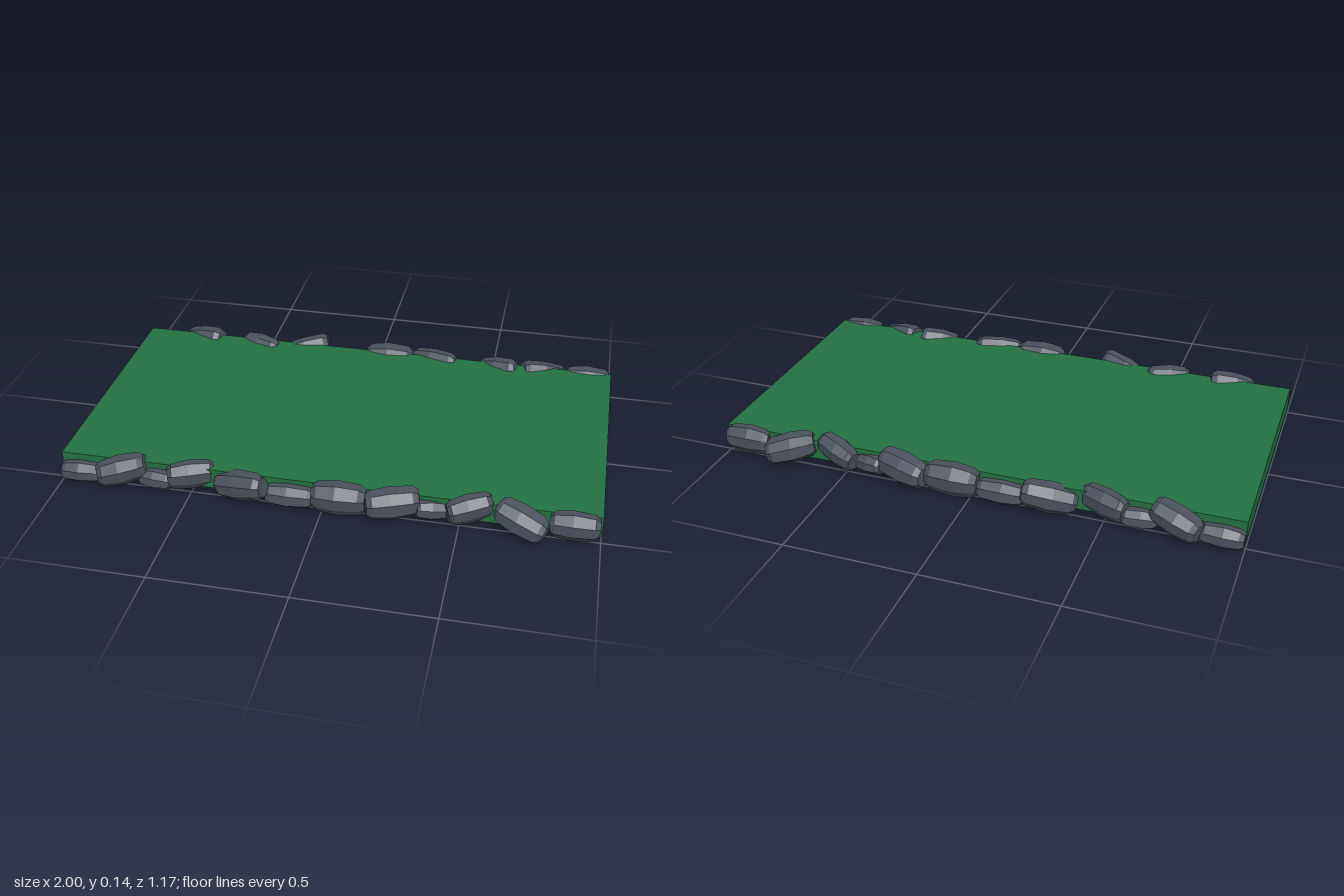
import * as THREE from 'three';

// Faceted stone of unit size lying along x: a seven-sided barrel with chamfered ends.
function stoneGeometry(seed, length, height, depth, mirror) {
  const profile = [[0, -0.5], [0.33, -0.5], [0.45, -0.4], [0.52, -0.04], [0.46, 0.39], [0.34, 0.5], [0, 0.5]]
    .map(([r, y]) => new THREE.Vector2(r, y));
  const geometry = new THREE.LatheGeometry(profile, 8, Math.PI / 8);
  geometry.rotateZ(-Math.PI / 2);
  const p = geometry.attributes.position;
  for (let i = 0; i < p.count; i++) {
    const x = p.getX(i), y = p.getY(i), z = p.getZ(i) * mirror;
    // Small uneven bulges that agree at the seam, and slightly skewed ends
    const k = 1.05 + 0.06 * Math.sin(y * 7 + z * 5 + seed * 2.3);
    p.setXYZ(i,
      (x + 0.05 * x * Math.sin(z * 4 + y * 3 + seed)) * length,
      y * k * height,
      z * k * depth * mirror);
  }
  return geometry;
}

export function createModel() {
  const model = new THREE.Group();
  const grass = new THREE.MeshStandardMaterial({ color: 0x237042 });
  grass.name = 'grass green';
  const stone = new THREE.MeshStandardMaterial({ color: 0x4a515c });
  stone.name = 'slate grey';
  stone.flatShading = true;

  // Flat grass slab
  const slab = new THREE.Mesh(new THREE.BoxGeometry(2, 0.08, 1), grass);
  slab.name = 'grassSlab';
  slab.position.y = 0.08;
  model.add(slab);

  // Edge stones: x, y, z, length, height, depth, turn about y, tilt about z
  const stones = [
    [-0.92, 0.053, 0.507, 0.15, 0.085, 0.09, 0.03, 0.02],
    [-0.76, 0.085, 0.515, 0.18, 0.1, 0.11, 0.3, 0.22],
    [-0.63, 0.06, 0.505, 0.13, 0.075, 0.08, -0.12, 0.0],
    [-0.5, 0.086, 0.49, 0.18, 0.105, 0.09, 0.36, 0.04],
    [-0.3, 0.08, 0.518, 0.2, 0.105, 0.1, -0.3, 0.24],
    [-0.12, 0.058, 0.507, 0.17, 0.093, 0.085, 0.0, 0.01],
    [0.065, 0.08, 0.515, 0.19, 0.118, 0.115, 0.0, 0.02],
    [0.26, 0.083, 0.515, 0.19, 0.115, 0.1, 0.28, 0.08],
    [0.4, 0.067, 0.497, 0.12, 0.075, 0.08, 0.3, -0.1],
    [0.535, 0.09, 0.495, 0.17, 0.098, 0.09, 0.34, 0.22],
    [0.72, 0.08, 0.515, 0.19, 0.105, 0.11, -0.34, -0.25],
    [0.905, 0.079, 0.507, 0.17, 0.108, 0.09, 0.0, 0.0],
  ];
  for (const side of [1, -1]) {
    const row = new THREE.Group();
    row.name = side > 0 ? 'frontStones' : 'backStones';
    stones.forEach(([x, y, z, length, height, depth, turn, tilt], i) => {
      const mesh = new THREE.Mesh(stoneGeometry(i + 1, length, height, depth, side), stone);
      mesh.name = 'edgeStone' + (i + 1);
      mesh.position.set(x, y, z * side);
      mesh.rotation.set(0, turn * side, tilt);
      row.add(mesh);
    });
    model.add(row);
  }
  return model;
}
